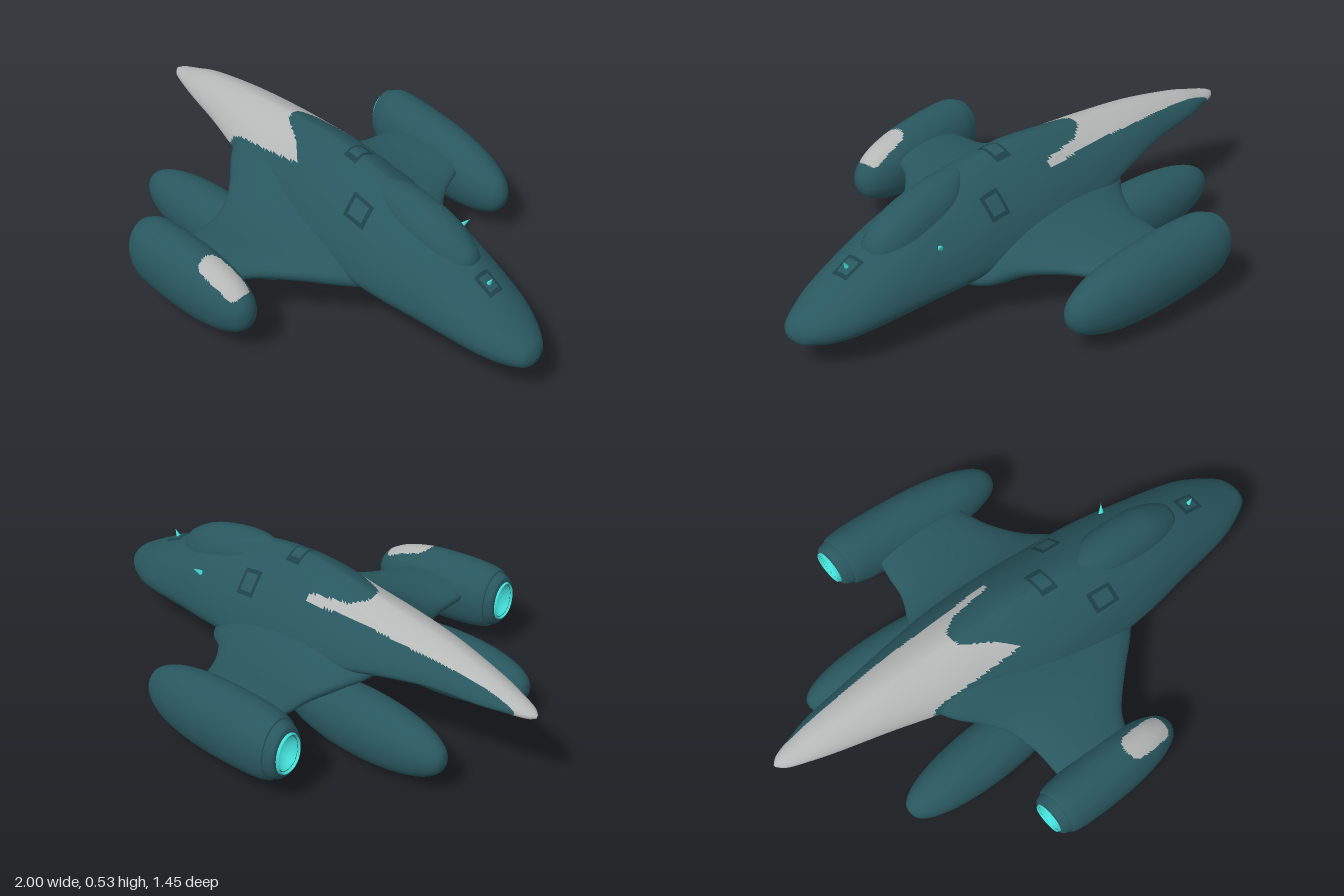
import * as THREE from 'three';

const mat = (name, color) => {
  const m = new THREE.MeshStandardMaterial({ color });
  m.name = name;
  return m;
};
const teal = mat('teal hull', 0x29575f);
const grey = mat('pale grey paint', 0xb6b8b8);
const cyan = mat('cyan glow', 0x42dcd6);
const dark = mat('dark recess', 0x1d4148);

// Smooth interpolation of a table of section rows at u in 0..1
function rowAt(rows, u) {
  const f = u * (rows.length - 1);
  const i = Math.min(Math.floor(f), rows.length - 2), t = f - i;
  const at = k => rows[Math.max(0, Math.min(rows.length - 1, k))];
  const [a, b, c, d] = [at(i - 1), at(i), at(i + 1), at(i + 2)];
  return b.map((v, k) => v + 0.5 * t * (c[k] - a[k]
    + t * (2 * a[k] - 5 * v + 4 * c[k] - d[k] + t * (3 * (v - c[k]) + d[k] - a[k]))));
}

// Row: [axis, cross centre, y of widest line, half width, y top, y bottom, roundness of top, shear]
function sectionPoint(row, a, lift = 0) {
  const [ax, cc, ym, hw, top, bot, n = 2, shear = 0] = row;
  const c = Math.cos(a), s = Math.sin(a);
  const e = 2 / (s > 0 ? n : 2.2);
  const w = Math.sign(c) * Math.abs(c) ** e * Math.max(0.0005, hw + lift);
  const h = Math.abs(s) ** e * (s > 0 ? top - ym + lift : bot - ym - lift);
  return [ax, cc + w, ym + h - shear * w];
}

// Skin over the sections; paint(x, y, z) picks the second material
function loft(name, rows, { steps = 60, seg = 48, alongZ = false, paint = null, material = teal } = {}) {
  const pos = [], faces = [[], []];
  for (let i = 0; i <= steps; i++) {
    const row = rowAt(rows, i / steps);
    for (let j = 0; j < seg; j++) {
      const [p, c, y] = sectionPoint(row, j / seg * Math.PI * 2);
      pos.push(alongZ ? c : p, y, alongZ ? p : c);
    }
  }
  const add = (a, b, c) => {
    const mid = k => (pos[a * 3 + k] + pos[b * 3 + k] + pos[c * 3 + k]) / 3;
    const list = faces[paint && paint(mid(0), mid(1), mid(2)) ? 1 : 0];
    alongZ ? list.push(a, c, b) : list.push(a, b, c);
  };
  for (let i = 0; i < steps; i++) for (let j = 0; j < seg; j++) {
    const a = i * seg + j, b = i * seg + (j + 1) % seg;
    add(a, a + seg, b);
    add(b, a + seg, b + seg);
  }
  const g = new THREE.BufferGeometry();
  g.setAttribute('position', new THREE.Float32BufferAttribute(pos, 3));
  g.setIndex([...faces[0], ...faces[1]]);
  g.addGroup(0, faces[0].length, 0);
  g.addGroup(faces[0].length, faces[1].length, 1);
  g.computeVertexNormals();
  const mesh = new THREE.Mesh(g, paint ? [material, grey] : material);
  mesh.name = name;
  return mesh;
}

// Section rows of a pod from rear point p to front point q, profile of [t, radius]
const podRows = (p, q, hw, hh, profile) => profile.map(([t, r]) => {
  const [x, y, z] = p.map((v, k) => v + (q[k] - v) * t);
  return [x, z, y, hw * r, y + hh * r, y - hh * r];
});

const hull = [
  [-1, -0.14, 0.365, 0.004, 0.37, 0.36, 1.9],
  [-0.97, -0.135, 0.367, 0.03, 0.385, 0.35, 1.9],
  [-0.9, -0.125, 0.37, 0.055, 0.407, 0.345, 1.8],
  [-0.8, -0.113, 0.37, 0.085, 0.437, 0.342, 1.75],
  [-0.6, -0.08, 0.365, 0.125, 0.475, 0.33, 1.7],
  [-0.4, -0.05, 0.34, 0.17, 0.497, 0.29, 1.6],
  [-0.2, -0.02, 0.3, 0.21, 0.517, 0.24, 1.5],
  [0, 0.015, 0.265, 0.235, 0.532, 0.2, 1.5],
  [0.2, 0.045, 0.24, 0.238, 0.517, 0.16, 1.5],
  [0.4, 0.067, 0.225, 0.222, 0.465, 0.135, 1.65],
  [0.6, 0.087, 0.21, 0.187, 0.4, 0.115, 1.8],
  [0.8, 0.107, 0.185, 0.15, 0.305, 0.102, 1.85],
  [0.9, 0.12, 0.17, 0.112, 0.25, 0.1, 1.9],
  [0.97, 0.133, 0.16, 0.068, 0.205, 0.115, 2],
  [0.992, 0.14, 0.155, 0.035, 0.178, 0.13, 2],
  [1, 0.14, 0.152, 0.002, 0.155, 0.15, 2],
];

// Outline of the pale paint, seen from above (x, z)
const paintEdge = [[-1.05, -0.19], [-0.9, -0.17], [-0.5, -0.158], [-0.27, -0.14], [-0.2, -0.135], [-0.03, -0.13],
  [-0.04, -0.105], [-0.2, -0.1], [-0.27, -0.06], [-0.26, 0.0], [-0.17, 0.06], [-0.09, 0.13], [-0.25, 0.115],
  [-0.45, 0.088], [-0.55, 0.12], [-1.05, 0.1]];
function inPaint(x, y, z) {
  let inside = false;
  paintEdge.forEach(([x1, z1], i) => {
    const [x2, z2] = paintEdge[(i + 1) % paintEdge.length];
    if (z1 > z !== z2 > z && x < x1 + (z - z1) / (z2 - z1) * (x2 - x1)) inside = !inside;
  });
  return inside && y > 0.348;
}

// Thin plate lying on the hull between two x values and two angles in degrees
function plate(name, x0, x1, a0, a1, lift, material) {
  const g = new THREE.PlaneGeometry(1, 1, 6, 6), p = g.attributes.position;
  for (let i = 0; i < p.count; i++) {
    const x = x0 + (x1 - x0) * (p.getX(i) + 0.5);
    let lo = 0, hi = 1;
    for (let k = 0; k < 30; k++) {
      const m = (lo + hi) / 2;
      rowAt(hull, m)[0] < x ? lo = m : hi = m;
    }
    const a = THREE.MathUtils.degToRad(a0 + (a1 - a0) * (p.getY(i) + 0.5));
    const [px, pz, py] = sectionPoint(rowAt(hull, lo), a, lift);
    p.setXYZ(i, px, py, pz);
  }
  g.computeVertexNormals();
  const mesh = new THREE.Mesh(g, material);
  mesh.name = name;
  return mesh;
}

export function createModel() {
  const ship = new THREE.Group();
  ship.name = 'spaceship';

  ship.add(loft('fuselage', hull, { steps: 220, seg: 128, paint: inPaint }));

  // Canopy bulge
  ship.add(loft('canopy', [
    [0.24, 0.055, 0.45, 0.01, 0.5, 0.42], [0.27, 0.057, 0.44, 0.05, 0.508, 0.4],
    [0.35, 0.06, 0.42, 0.085, 0.508, 0.38], [0.46, 0.067, 0.385, 0.095, 0.493, 0.33],
    [0.57, 0.075, 0.35, 0.09, 0.46, 0.3], [0.65, 0.082, 0.33, 0.065, 0.412, 0.28],
    [0.68, 0.085, 0.32, 0.04, 0.38, 0.28], [0.69, 0.086, 0.32, 0.003, 0.34, 0.3]]));

  // Swept wing from tip to tip, thickening into the fuselage
  ship.add(loft('wing', [
    [-0.57, -0.03, 0.23, 0.16, 0.272, 0.19, 2, 0], [-0.45, -0.03, 0.23, 0.19, 0.277, 0.185, 2, 0.02],
    [-0.35, -0.02, 0.23, 0.22, 0.282, 0.175, 2, 0.05], [-0.25, -0.015, 0.235, 0.285, 0.305, 0.17, 2, 0.1],
    [-0.17, -0.01, 0.245, 0.37, 0.345, 0.17, 2, 0.18], [-0.05, -0.01, 0.26, 0.42, 0.4, 0.175, 2, 0.22],
    [0.05, -0.02, 0.26, 0.44, 0.4, 0.175, 2, 0.22], [0.13, -0.01, 0.25, 0.42, 0.37, 0.172, 2, 0.2],
    [0.22, 0.005, 0.242, 0.355, 0.335, 0.165, 2, 0.15], [0.3, 0, 0.235, 0.295, 0.305, 0.168, 2, 0.1],
    [0.4, -0.05, 0.23, 0.22, 0.285, 0.175, 2, 0.05], [0.5, -0.105, 0.23, 0.165, 0.28, 0.185, 2, 0.02],
    [0.6, -0.13, 0.23, 0.14, 0.275, 0.19, 2, 0]], { alongZ: true, steps: 96 }));

  // Engines with a small concave glowing nozzle at the rear
  const engineProfile = [[0, 0.48], [0.002, 0.62], [0.015, 0.72], [0.05, 0.79], [0.06, 0.8], [0.07, 0.87],
    [0.14, 0.95], [0.3, 1], [0.5, 1], [0.65, 0.95], [0.8, 0.82], [0.9, 0.64], [0.96, 0.45], [0.99, 0.22], [1, 0.01]];
  const nozzleProfile = [[0.07, 0.005], [0.06, 0.2], [0.035, 0.38], [0, 0.5], [-0.014, 0.54], [0.006, 0.58]];
  const engines = [
    ['leftEngine', [-0.395, 0.22, 0.61], [0.17, 0.175, 0.635], 0.104, 0.131,
      (x, y, z) => ((x - 0.04) / 0.092) ** 4 + ((z - 0.635) / 0.05) ** 4 < 1 && y > 0.2],
    ['rightEngine', [-0.348, 0.215, -0.63], [0.345, 0.165, -0.522], 0.11, 0.136, null],
  ];
  for (const [name, p, q, hw, hh, paint] of engines) {
    const engine = new THREE.Group();
    engine.name = name;
    engine.add(loft('engineShell', podRows(p, q, hw, hh, engineProfile), { steps: 112, seg: 72, paint }));
    engine.add(loft('engineGlow', podRows(p, q, hw, hh, nozzleProfile), { steps: 25, material: cyan }));
    ship.add(engine);
  }

  // Lower pods, slim ellipsoids
  const podProfile = Array.from({ length: 17 }, (_, i) => {
    const a = i / 16 * Math.PI;
    return [(1 - Math.cos(a)) / 2, Math.max(0.005, Math.max(0, Math.sin(a)) ** 0.85)];
  });
  ship.add(loft('leftLowerPod', podRows([-0.735, 0.145, 0.25], [0.005, 0.11, 0.28], 0.109, 0.124, podProfile)));
  ship.add(loft('rightLowerPod', podRows([-0.745, 0.15, -0.287], [0.005, 0.115, -0.18], 0.107, 0.124, podProfile)));

  // Framed hatches on the hull
  for (const [name, x0, x1, a0, a1] of [
    ['topHatch', 0.07, 0.135, 75, 111], ['noseHatch', 0.72, 0.8, 76, 104],
    ['leftHatch', 0.2, 0.3, 41, 58], ['rightHatch', 0.2, 0.28, 126, 145]]) {
    const dx = (x1 - x0) * 0.16, da = (a1 - a0) * 0.16;
    ship.add(plate(name + 'Frame', x0, x1, a0, a1, 0.003, dark));
    ship.add(plate(name, x0 + dx, x1 - dx, a0 + da, a1 - da, 0.005, teal));
  }

  // Small glowing sensors on the nose and beside the canopy
  for (const [x, y, z, tilt] of [[0.765, 0.332, 0.105, 0], [0.5, 0.352, -0.084, -0.8]]) {
    const sensor = new THREE.Mesh(new THREE.ConeGeometry(0.014, 0.05, 10), cyan);
    sensor.name = 'sensor';
    sensor.position.set(x, y, z);
    sensor.rotation.set(tilt, 0, -0.5);
    ship.add(sensor);
  }
  return ship;
}
